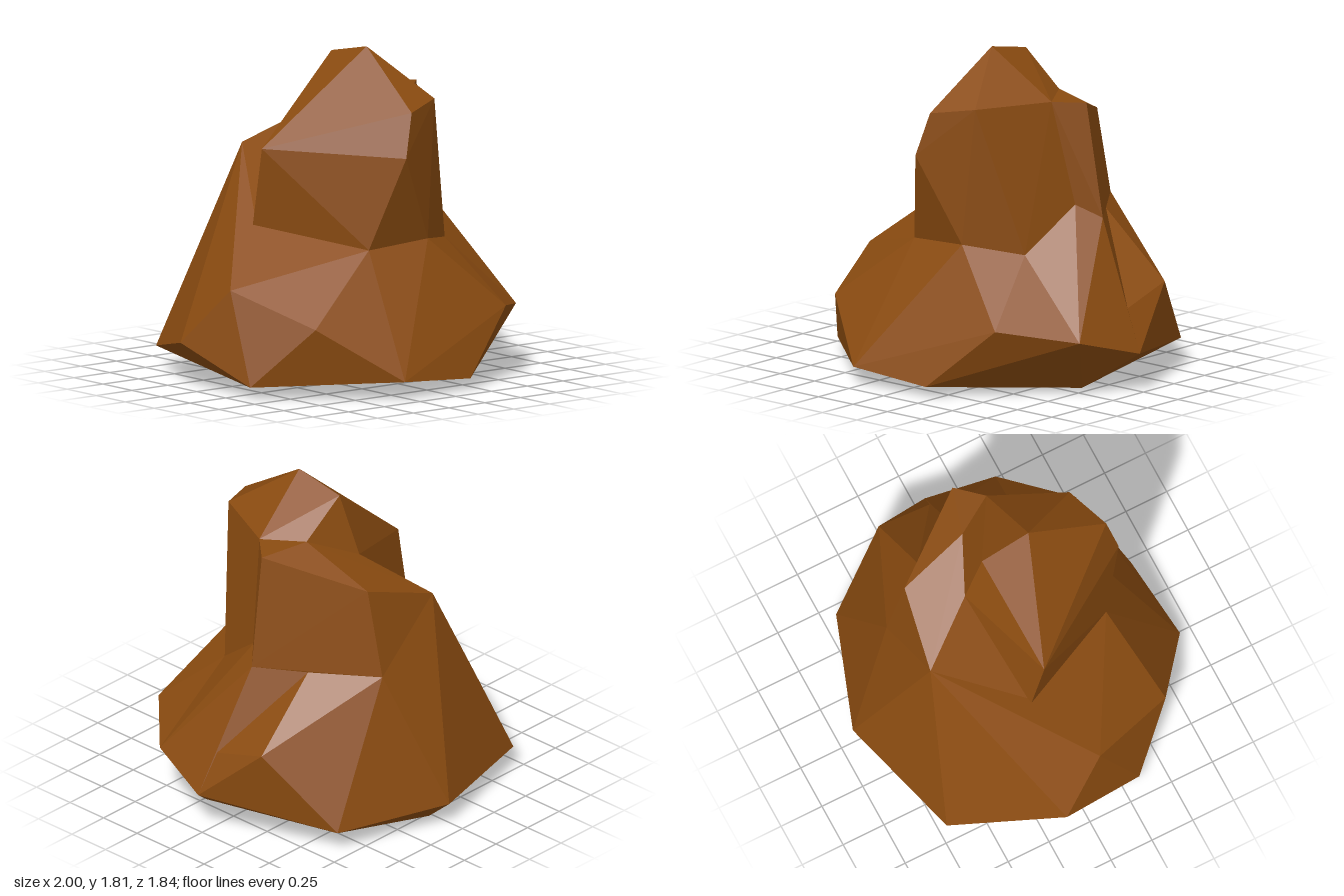
import * as THREE from 'three';
import { ConvexGeometry } from 'three/addons/geometries/ConvexGeometry.js';

const v = (x, y, z) => new THREE.Vector3(x, y, z);

// Corners shared by neighbouring chunks of the rock
const waistFront = [v(-0.52, 0.84, -0.11), v(-0.21, 0.76, 0.51), v(0.17, 0.79, 0.55), v(0.45, 0.74, 0.35)];
const waistBack = [v(0.47, 0.89, -0.29), v(0.22, 0.88, -0.61), v(-0.22, 1.21, -0.57), v(-0.37, 0.54, -0.7)];
const shoulder = [v(0.54, 0.98, 0.04), v(0.66, 0.91, -0.05)];
const ledge = [v(0.43, 1.55, 0.11), v(0.29, 1.56, -0.11), v(0.01, 1.42, -0.24)];
const rightHip = v(1, 0.22, 0.03);
const frontHip = v(0.9, 0.33, 0.41);

// Widest outline of the foot, and the points it rests on
const rim = [
  rightHip, frontHip, v(0.57, 0.4, 0.73), v(0.2, 0.06, 0.88), v(-0.29, 0.1, 0.92),
  v(-0.68, 0.39, 0.63), v(-0.91, 0.06, 0.35), v(-0.87, 0.56, 0.13), v(-1, 0.25, -0.14),
  v(-0.7, 0.12, -0.72), v(0.02, 0.13, -0.92), v(0.66, 0.12, -0.69), v(0.87, 0.54, -0.32),
];
const underside = [v(0.74, 0.02, 0.21), v(0.02, 0, -0.77)];

const chunks = {
  // broad foot
  rockBase: [...rim, ...underside, ...waistFront, ...waistBack],
  // rib running down one side
  sideRib: [...shoulder, rightHip, frontHip, waistFront[3], waistBack[0], v(0, 0.5, 0)],
  // tall front column with the peak
  frontColumn: [
    ...waistFront, shoulder[0], ...ledge,
    v(0.05, 1.81, 0.17), v(0.04, 1.75, -0.12),
    v(0.24, 1.55, 0.52), v(0, 1.51, 0.62), v(-0.07, 1.27, 0.66), v(-0.52, 1.28, -0.03),
  ],
  // lower slab leaning on the back
  backColumn: [
    ...shoulder, ...waistBack.slice(0, 3), waistFront[0], ...ledge,
    v(0.56, 1.54, -0.03), v(0.22, 1.37, -0.5),
  ],
};

export function createModel() {
  const group = new THREE.Group();
  group.name = 'rock';
  const stone = new THREE.MeshStandardMaterial({ color: 0x8a4b10 });
  stone.name = 'brown stone';
  stone.flatShading = true;
  for (const [name, points] of Object.entries(chunks)) {
    const mesh = new THREE.Mesh(new ConvexGeometry(points), stone);
    mesh.name = name;
    group.add(mesh);
  }
  return group;
}
